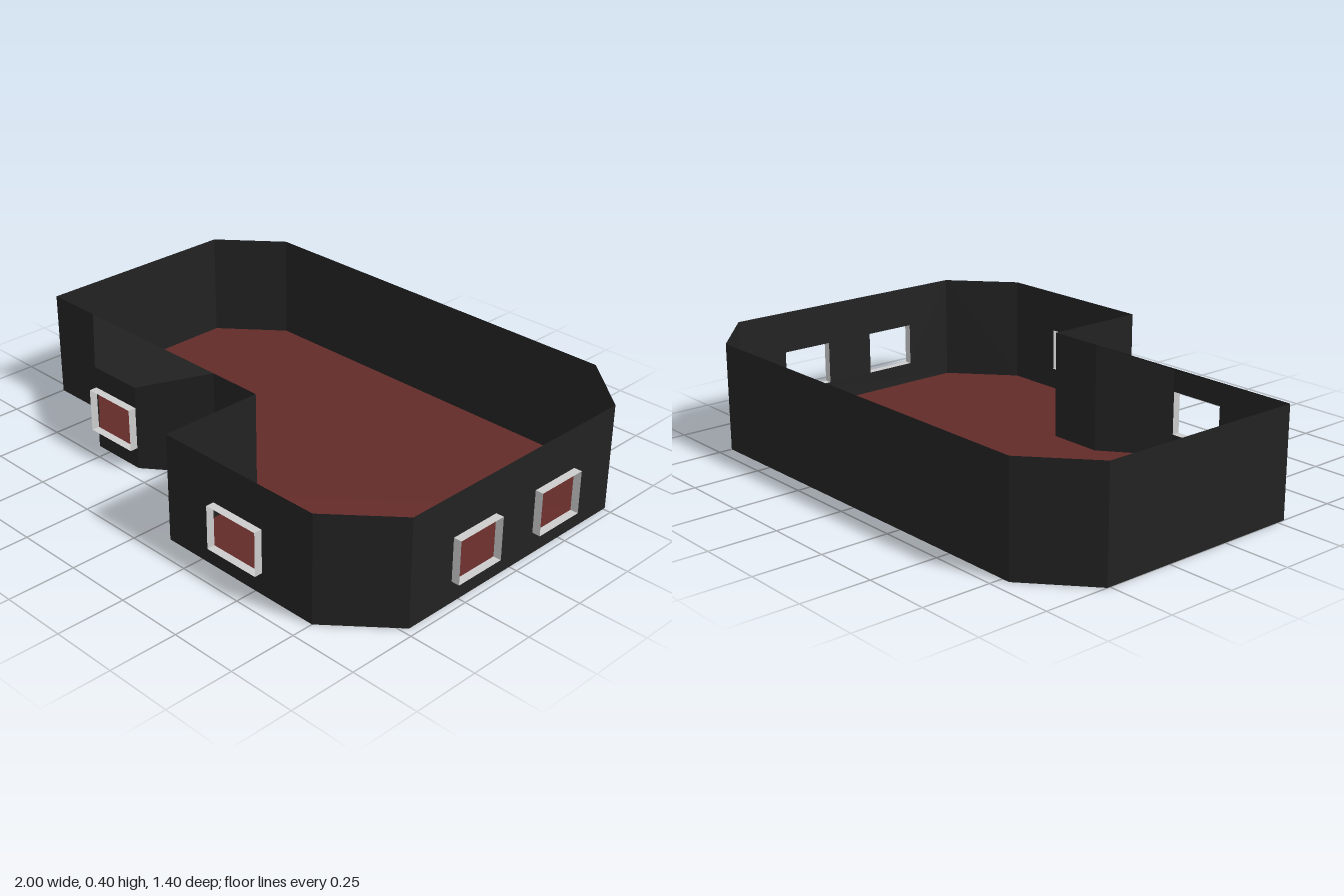
import * as THREE from 'three';
import { mergeGeometries } from 'three/addons/utils/BufferGeometryUtils.js';

const H = 0.396, BAY_H = 0.32;          // wall height, lowered bay front
const SILL = 0.08, HEAD = 0.24, DEPTH = 0.03;

// Outline corners [x, z, wall height, name of the wall starting here, windows [distance along wall, width]]
const corners = [
  [-1, -0.51, H, 'rightWall'],
  [-1, 0.28, H, 'frontWallOuter'],
  [-0.78, 0.28, H, 'bayRightWall'],
  [-0.56, 0.45, BAY_H, 'bayFrontWall', [[0.11, 0.216]]],
  [-0.34, 0.45, BAY_H, 'bayLeftWall'],
  [-0.12, 0.28, H, 'frontWallInner'],
  [0.09, 0.28, H, 'wingSideWall'],
  [0.09, 0.67, H, 'wingFrontWall', [[0.33, 0.22]]],
  [0.75, 0.67, H, 'frontCornerWall'],
  [0.97, 0.475, H, 'leftWall', [[0.29, 0.2], [0.685, 0.2]]],
  [0.97, -0.51, H, 'backLeftCornerWall'],
  [0.75, -0.7, H, 'backWall'],
  [-0.78, -0.7, H, 'backRightCornerWall'],
];

const rect = (x0, x1, y0, y1) => [[x0, y0], [x0, y1], [x1, y1], [x1, y0]].map(p => new THREE.Vector2(...p));

// Thin open sleeve projecting from a window opening
function sleeveGeometry(width) {
  const height = HEAD - SILL;
  const sides = [];
  for (const s of [-1, 1]) {
    sides.push(new THREE.PlaneGeometry(width, DEPTH).rotateX(-s * Math.PI / 2).translate(0, s * height / 2, 0));
    sides.push(new THREE.PlaneGeometry(DEPTH, height).rotateY(s * Math.PI / 2).translate(s * width / 2, 0, 0));
  }
  return mergeGeometries(sides);
}

export function createModel() {
  const model = new THREE.Group();
  model.name = 'roomShell';
  const paint = color => new THREE.MeshStandardMaterial({ color, side: THREE.DoubleSide });
  const wallMat = paint(0x222222), floorMat = paint(0x632b28), frameMat = paint(0xcccccc);

  const add = (parent, name, geometry, material) => {
    const mesh = new THREE.Mesh(geometry, material);
    mesh.name = name;
    parent.add(mesh);
    return mesh;
  };

  // Floor follows the whole outline, including the bay
  const outline = new THREE.Shape(corners.map(([x, z]) => new THREE.Vector2(x, -z)));
  add(model, 'floor', new THREE.ShapeGeometry(outline).rotateX(-Math.PI / 2), floorMat);

  // Walls, each with its window openings and sleeves
  corners.forEach(([x, z, h, name, windows = []], i) => {
    const [x2, z2, h2] = corners[(i + 1) % corners.length];
    const length = Math.hypot(x2 - x, z2 - z);
    const shape = new THREE.Shape([[0, 0], [length, 0], [length, h2], [0, h]].map(p => new THREE.Vector2(...p)));
    const group = new THREE.Group();
    group.name = name;
    group.position.set(x, 0, z);
    group.rotation.y = Math.atan2(z - z2, x2 - x);
    for (const [at, width] of windows) {
      shape.holes.push(new THREE.Path(rect(at - width / 2, at + width / 2, SILL, HEAD)));
      add(group, 'windowFrame', sleeveGeometry(width), frameMat).position.set(at, (SILL + HEAD) / 2, DEPTH / 2);
    }
    add(group, 'wallPanel', new THREE.ShapeGeometry(shape), wallMat);
    model.add(group);
  });

  // Sloping roof over the bay
  const roof = new THREE.BufferGeometry();
  roof.setAttribute('position', new THREE.Float32BufferAttribute(
    corners.slice(2, 6).flatMap(([x, z, h]) => [x, h, z]), 3));
  roof.setIndex([0, 1, 2, 0, 2, 3]);
  roof.computeVertexNormals();
  add(model, 'bayRoof', roof, wallMat);

  return model;
}
